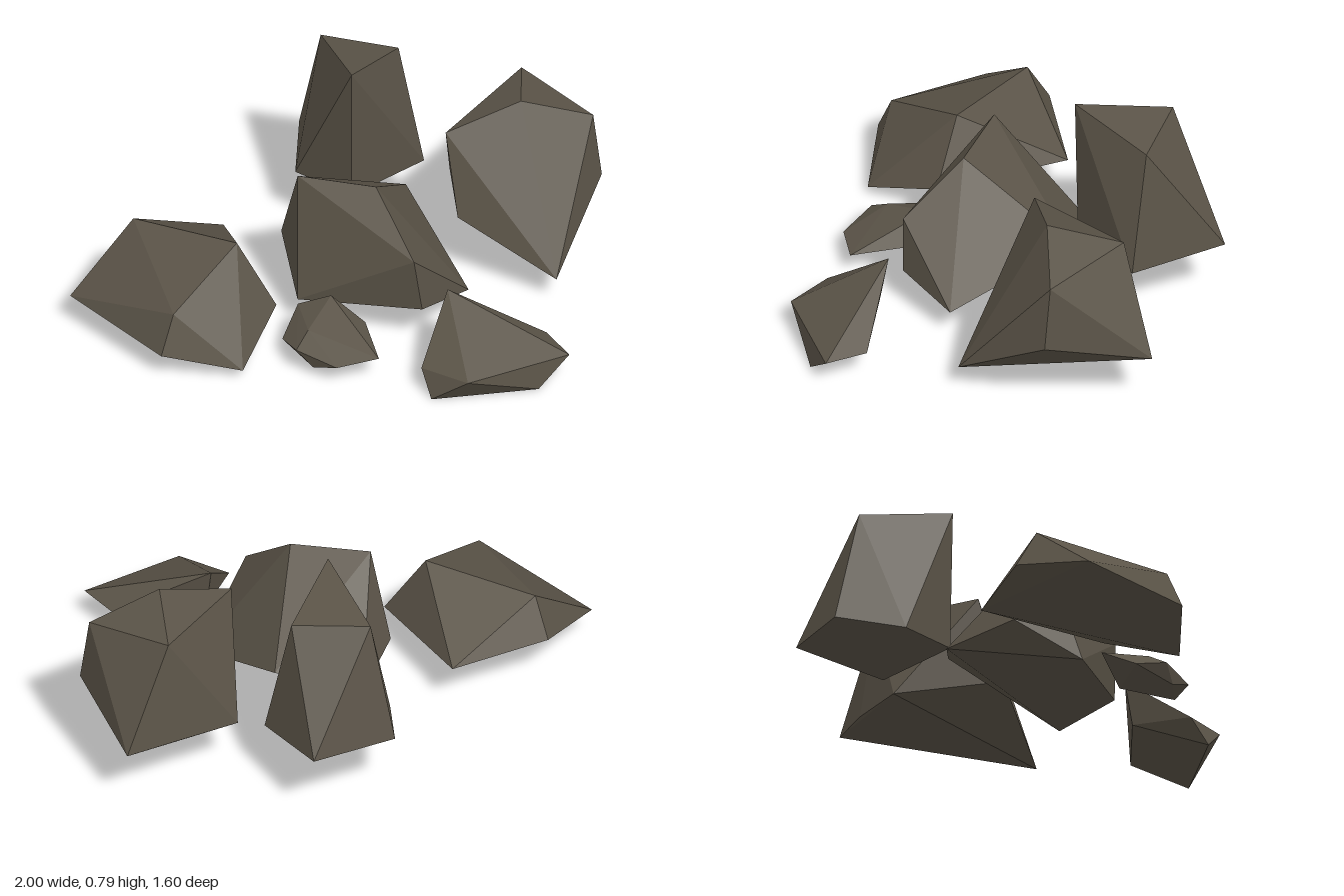
import * as THREE from 'three';
import { ConvexGeometry } from 'three/addons/geometries/ConvexGeometry.js';

// Each boulder is the faceted hull of a few corners [x, y, z]
const boulders = {
  leftBoulder: [
    [-1, 0.12, 0.12], [-0.78, 0.19, -0.12], [-0.4, 0.175, -0.2],
    [-0.25, 0.14, 0.28], [-0.4, 0.035, 0.54], [-0.7, 0.1, 0.51],
    [-0.65, 0.25, 0.46], [-0.75, 0.34, -0.04], [-0.39, 0.38, 0.21],
  ],
  centreBoulder: [
    [-0.15, 0.565, 0.065], [0.13, 0.57, 0.17], [0.25, 0.375, 0.39],
    [0.28, 0.16, 0.39], [0.47, 0.11, 0.21], [0.28, 0.29, -0.23],
    [-0.04, 0.18, -0.28], [-0.2, 0.24, -0.05], [-0.165, 0.11, 0.21],
  ],
  rightBoulder: [
    [0.415, 0.605, -0.1], [0.7, 0.69, -0.155], [0.73, 0.64, -0.44],
    [0.97, 0.595, -0.175], [1, 0.34, -0.155], [0.91, 0.24, -0.55],
    [0.8, 0.105, 0.17], [0.45, 0.29, 0], [0.46, 0.22, -0.41], [0.72, 0.24, -0.5],
  ],
  backBoulder: [
    [0.08, 0.79, -0.24], [0.28, 0.71, -0.51], [0, 0.725, -0.6],
    [-0.07, 0.27, -0.7], [0.26, 0.29, -0.8], [0.37, 0.23, -0.46],
    [-0.11, 0.225, -0.44], [0.08, 0.24, -0.25],
  ],
  smallStone: [
    [-0.24, 0.07, 0.4], [-0.17, 0.14, 0.28], [-0.05, 0.19, 0.31],
    [0.07, 0.11, 0.38], [0.1, 0.09, 0.59], [-0.06, 0.08, 0.62],
    [-0.2, 0.1, 0.52], [-0.15, 0.145, 0.46], [-0.14, 0.04, 0.55],
  ],
  frontShard: [
    [0.37, 0.28, 0.44], [0.73, 0.11, 0.51], [0.8, 0.11, 0.66],
    [0.68, 0.005, 0.72], [0.41, 0.105, 0.8], [0.28, 0, 0.74],
    [0.25, 0.095, 0.67], [0.38, 0.11, 0.47],
  ],
};

export function createModel() {
  const group = new THREE.Group();
  group.name = 'rockCluster';
  const stone = new THREE.MeshStandardMaterial({ color: 0x5a5347 });
  stone.name = 'darkStone';

  for (const [name, corners] of Object.entries(boulders)) {
    const points = corners.map((c) => new THREE.Vector3(...c));
    const mesh = new THREE.Mesh(new ConvexGeometry(points), stone);
    mesh.name = name;
    group.add(mesh);
  }
  return group;
}
